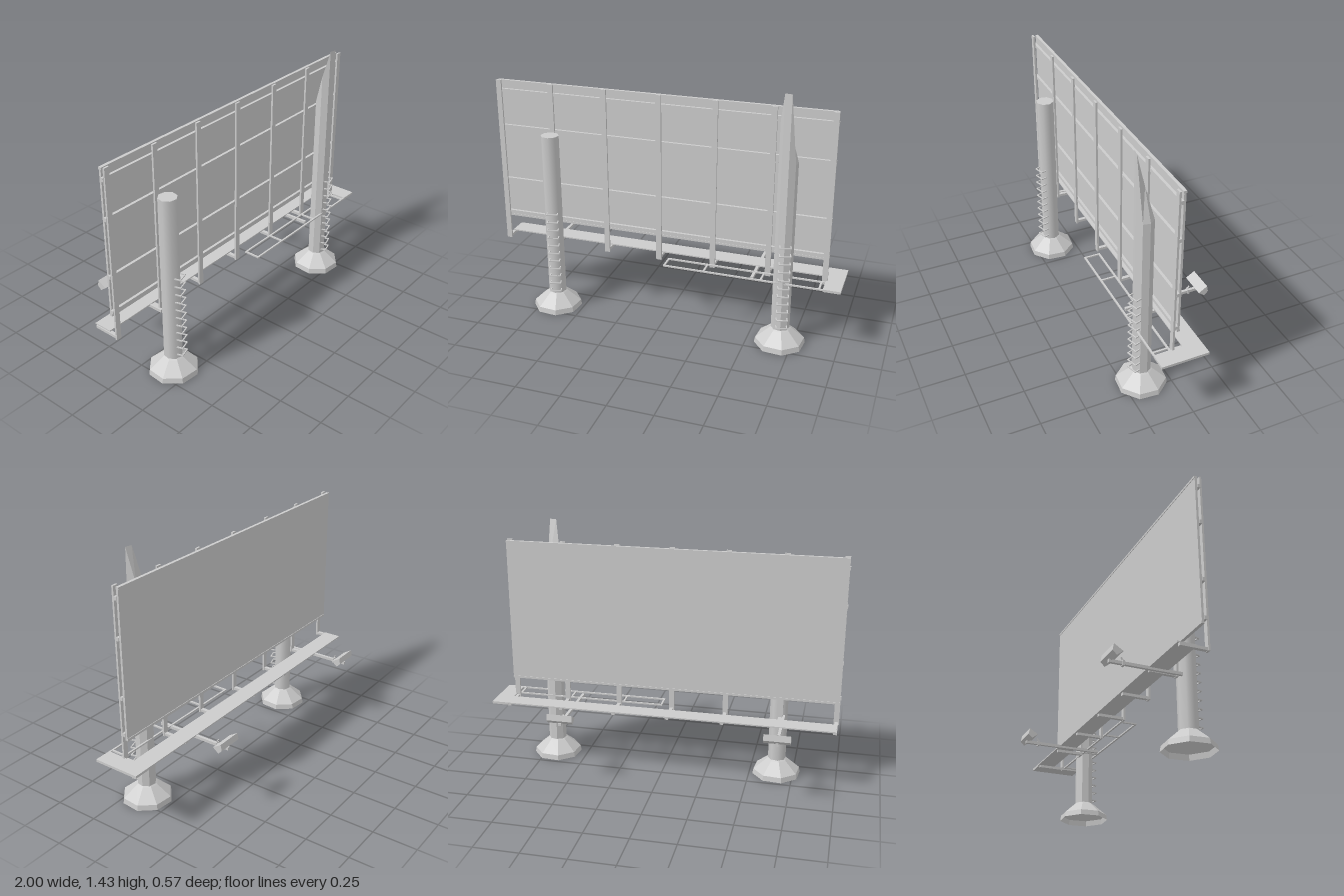
import * as THREE from 'three';

const grey = new THREE.MeshStandardMaterial({ color: 0xcccccc });
const facet = new THREE.MeshStandardMaterial({ color: 0xcccccc, flatShading: true, side: THREE.DoubleSide });

function add(parent, name, geometry, material = grey) {
  const mesh = new THREE.Mesh(geometry, material);
  mesh.name = name;
  parent.add(mesh);
  return mesh;
}

// Box given by its limits on each axis
function box(parent, name, x0, x1, y0, y1, z0, z1) {
  const mesh = add(parent, name, new THREE.BoxGeometry(x1 - x0, y1 - y0, z1 - z0));
  mesh.position.set((x0 + x1) / 2, (y0 + y1) / 2, (z0 + z1) / 2);
  return mesh;
}

// Eight-sided pole; heights lists the top of each corner, from the front round by the left
function poleGeometry(heights, middle) {
  const start = 0.21, sides = 8;
  const g = new THREE.CylinderGeometry(0.051, 0.051, 1, sides, 1, false, start);
  const p = g.attributes.position;
  for (let i = 0; i < p.count; i++) {
    if (p.getY(i) < 0) {
      p.setY(i, 0.08);
      continue;
    }
    const x = p.getX(i), z = p.getZ(i);
    if (Math.hypot(x, z) < 0.01) {
      p.setY(i, middle);
      continue;
    }
    const k = Math.round((Math.atan2(x, z) - start) / (2 * Math.PI / sides));
    p.setY(i, heights[(k + sides) % sides]);
  }
  return g;
}

function support(name, x, heights, middle) {
  const group = new THREE.Group();
  group.name = name;
  group.position.set(x, 0, 0.15);

  const pole = add(group, 'pole', poleGeometry(heights, middle));
  if (middle > 1.1) pole.material = facet;

  // Hollow flared footing
  const profile = [[0.14, 0], [0.135, 0.03], [0.06, 0.093], [0.05, 0.1]].map(([r, y]) => new THREE.Vector2(r, y));
  add(group, 'footing', new THREE.LatheGeometry(profile, 8, 0.3), facet);

  // Climbing rungs bent like staples
  const rungs = new THREE.Group();
  rungs.name = 'rungs';
  rungs.rotation.y = 0.3;
  for (let i = 0; i < 11; i++) {
    const y = 0.125 + i * 0.048;
    box(rungs, 'rung', -0.032, 0.032, y - 0.003, y + 0.003, 0.066, 0.072);
    for (const s of [-1, 1]) {
      box(rungs, 'rungLeg', s * 0.029 - 0.003, s * 0.029 + 0.003, y - 0.003, y + 0.003, 0.03, 0.07);
    }
  }
  group.add(rungs);
  return group;
}

function floodlight(x, armStart) {
  const group = new THREE.Group();
  group.name = 'floodlight';
  group.position.x = x;
  box(group, 'arm', -0.008, 0.008, 0.37, 0.386, -0.28, armStart);
  box(group, 'collar', -0.012, 0.012, 0.364, 0.392, -0.21, -0.2);
  const hook = box(group, 'hook', -0.004, 0.004, 0.385, 0.41, -0.209, -0.204);
  hook.rotation.x = -0.5;
  // Tilted lamp housing, drawn in z and y and extruded along x
  const outline = [[-0.267, 0.38], [-0.289, 0.402], [-0.282, 0.437], [-0.233, 0.406]];
  const shape = new THREE.Shape(outline.map(([z, y]) => new THREE.Vector2(z, y)));
  const g = new THREE.ExtrudeGeometry(shape, { depth: 0.146, bevelEnabled: false });
  g.rotateY(-Math.PI / 2).translate(0.073, 0, 0);
  add(group, 'lampHousing', g);
  return group;
}

export function createModel() {
  const model = new THREE.Group();
  model.name = 'billboard';

  // Poles: one flat-topped, one cut to a slanted spike
  model.add(support('shortSupport', -0.655, Array(8).fill(1.057), 1.057));
  model.add(support('tallSupport', 0.682, [1.43, 1.057, 1.057, 1.057, 1.057, 1.12, 1.28, 1.43], 1.24));

  // Display panel with a thin raised border along top and bottom
  box(model, 'panel', -0.995, 0.91, 0.51, 1.325, 0.057, 0.069);
  for (const y of [0.5, 1.313]) box(model, 'panelEdge', -0.995, 0.91, y, y + 0.012, 0.054, 0.071);

  // Horizontal rails behind the panel
  for (const y of [0.53, 0.735, 1.057, 1.267]) {
    box(model, 'rail', -1, 0.914, y - 0.01, y + 0.01, 0.069, 0.084);
  }

  // Uprights, each with a bracket under the walkway
  for (let i = 0; i < 7; i++) {
    const x = -0.981 + i * 0.3133;
    box(model, 'upright', x - 0.015, x + 0.015, 0.365, 1.328, 0.083, 0.094);
    box(model, 'walkwayBracket', x - 0.01, x + 0.01, 0.367, 0.382, -0.06, 0.088);
  }

  // Walkway with a wider landing at its left end
  box(model, 'walkway', -0.985, 0.905, 0.382, 0.389, -0.07, 0.033);
  box(model, 'landing', 0.905, 1, 0.375, 0.389, -0.07, 0.195);

  // Open frame beside the walkway
  for (const z of [0.104, 0.191]) box(model, 'frameBar', 0.02, 0.91, 0.38, 0.388, z - 0.005, z + 0.005);
  for (const x of [0.024, 0.25, 0.57, 0.885]) {
    box(model, 'frameCrossBar', x - 0.005, x + 0.005, 0.38, 0.388, 0.1, 0.195);
  }

  // Floodlights facing the panel
  model.add(floodlight(-0.687, 0.11));
  model.add(floodlight(0.517, 0.17));

  return model;
}
